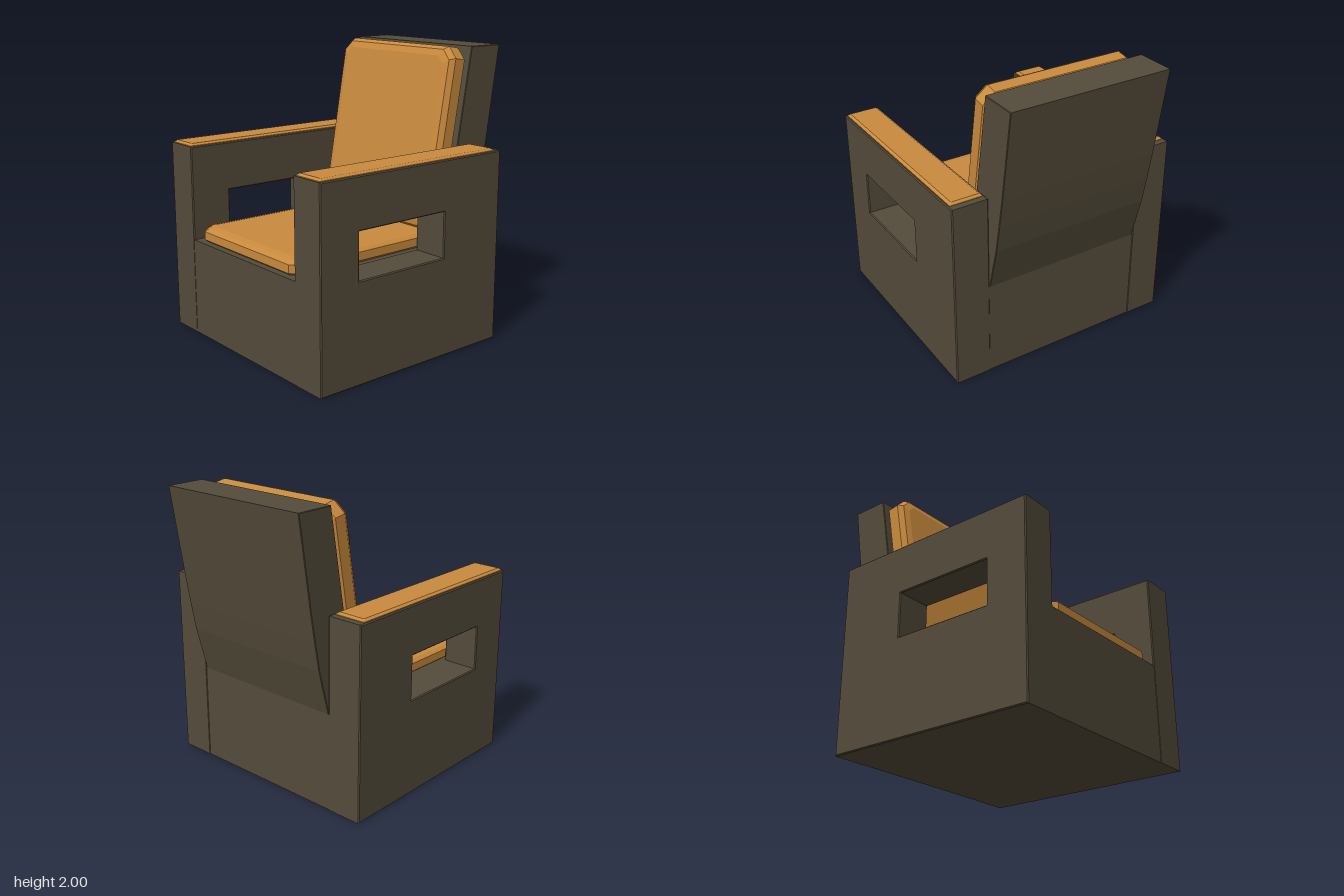
import * as THREE from 'three';

const frameMat = new THREE.MeshStandardMaterial({ color: 0x544b3a, flatShading: true });
const cushionMat = new THREE.MeshStandardMaterial({ color: 0xc98a3d, flatShading: true });

function add(group, name, geometry, material) {
  const mesh = new THREE.Mesh(geometry, material);
  mesh.name = name;
  group.add(mesh);
  return mesh;
}

// Side profile in x/y, extruded between two z values with a small bevel
function slab(shape, z0, z1, bevel) {
  const geo = new THREE.ExtrudeGeometry(shape, {
    depth: z1 - z0 - 2 * bevel, bevelEnabled: true, bevelSize: bevel,
    bevelOffset: -bevel, bevelThickness: bevel, bevelSegments: 1,
  });
  return geo.translate(0, 0, z0 + bevel);
}

const polygon = (pts) => new THREE.Shape(pts.map(([x, y]) => new THREE.Vector2(x, y)));
const rect = (x0, y0, x1, y1) => [[x0, y0], [x1, y0], [x1, y1], [x0, y1]];

// Stack of rectangles with cut corners: each layer is [inset, height, corner cut]
function cushion(x0, x1, halfZ, layers) {
  const pos = [], index = [];
  for (const [inset, y, c] of layers) {
    const a = x0 + inset, b = x1 - inset, h = halfZ - inset;
    const ring = [[a, h - c], [a + c, h], [b - c, h], [b, h - c],
      [b, c - h], [b - c, -h], [a + c, -h], [a, c - h]];
    for (const [x, z] of ring) pos.push(x, y, z);
  }
  const top = (layers.length - 1) * 8;
  for (let l = 0; l < top; l += 8) {
    for (let i = 0; i < 8; i++) {
      const j = (i + 1) % 8;
      index.push(l + i, l + j, l + 8 + j, l + i, l + 8 + j, l + 8 + i);
    }
  }
  for (let i = 1; i < 7; i++) {
    index.push(top, top + i, top + i + 1, 0, i + 1, i);
  }
  const indexed = new THREE.BufferGeometry();
  indexed.setAttribute('position', new THREE.Float32BufferAttribute(pos, 3));
  indexed.setIndex(index);
  const geo = indexed.toNonIndexed();
  geo.computeVertexNormals();
  return geo;
}

export function createModel() {
  const chair = new THREE.Group();
  chair.name = 'armchair';

  // Solid base between the arms
  const base = new THREE.BoxGeometry(1.522, 0.677, 1.17).translate(-0.125, 0.3385, 0);
  add(chair, 'seatBase', base, frameMat);

  // Arms with a rectangular opening, each topped by a thin pad
  for (const [side, s] of [['left', 1], ['right', -1]]) {
    const panel = polygon(rect(-0.888, 0, 0.64, 1.33));
    panel.holes.push(new THREE.Path(
      rect(-0.59, 0.68, 0.125, 0.99).reverse().map(([x, y]) => new THREE.Vector2(x, y))));
    const [z0, z1] = s > 0 ? [0.577, 0.833] : [-0.833, -0.577];
    add(chair, side + 'Arm', slab(panel, z0, z1, 0.007), frameMat);

    const pad = cushion(-0.88, 0.595, 0.115, [
      [0, 1.32, 0.006], [0, 1.334, 0.006], [0.018, 1.347, 0.004]]);
    add(chair, side + 'ArmPad', pad, cushionMat).position.z = s * 0.705;
  }

  // Leaning backrest with a bent rear face
  const back = polygon([[0.38, 0.66], [0.632, 0.66], [0.68, 0.84], [0.72, 0.99],
    [0.755, 1.18], [0.79, 1.38], [0.886, 2], [0.612, 2]]);
  add(chair, 'backrest', slab(back, -0.575, 0.575, 0.004), frameMat);

  // Seat cushion
  const seat = cushion(-0.86, 0.5, 0.56, [
    [0.03, 0.672, 0.07], [0, 0.695, 0.08], [0, 0.752, 0.08], [0.025, 0.773, 0.075], [0.07, 0.782, 0.06]]);
  add(chair, 'seatCushion', seat, cushionMat);

  // Back cushion, leaning against the backrest
  const rest = cushion(-0.6, 0.65, 0.56, [
    [0.035, 0, 0.06], [0, 0.03, 0.075], [0, 0.115, 0.075], [0.025, 0.152, 0.065], [0.07, 0.165, 0.05]]);
  const backCushion = add(chair, 'backCushion', rest, cushionMat);
  backCushion.position.set(0.49, 1.34, 0);
  backCushion.rotation.z = Math.PI / 2 - 0.175;

  return chair;
}
